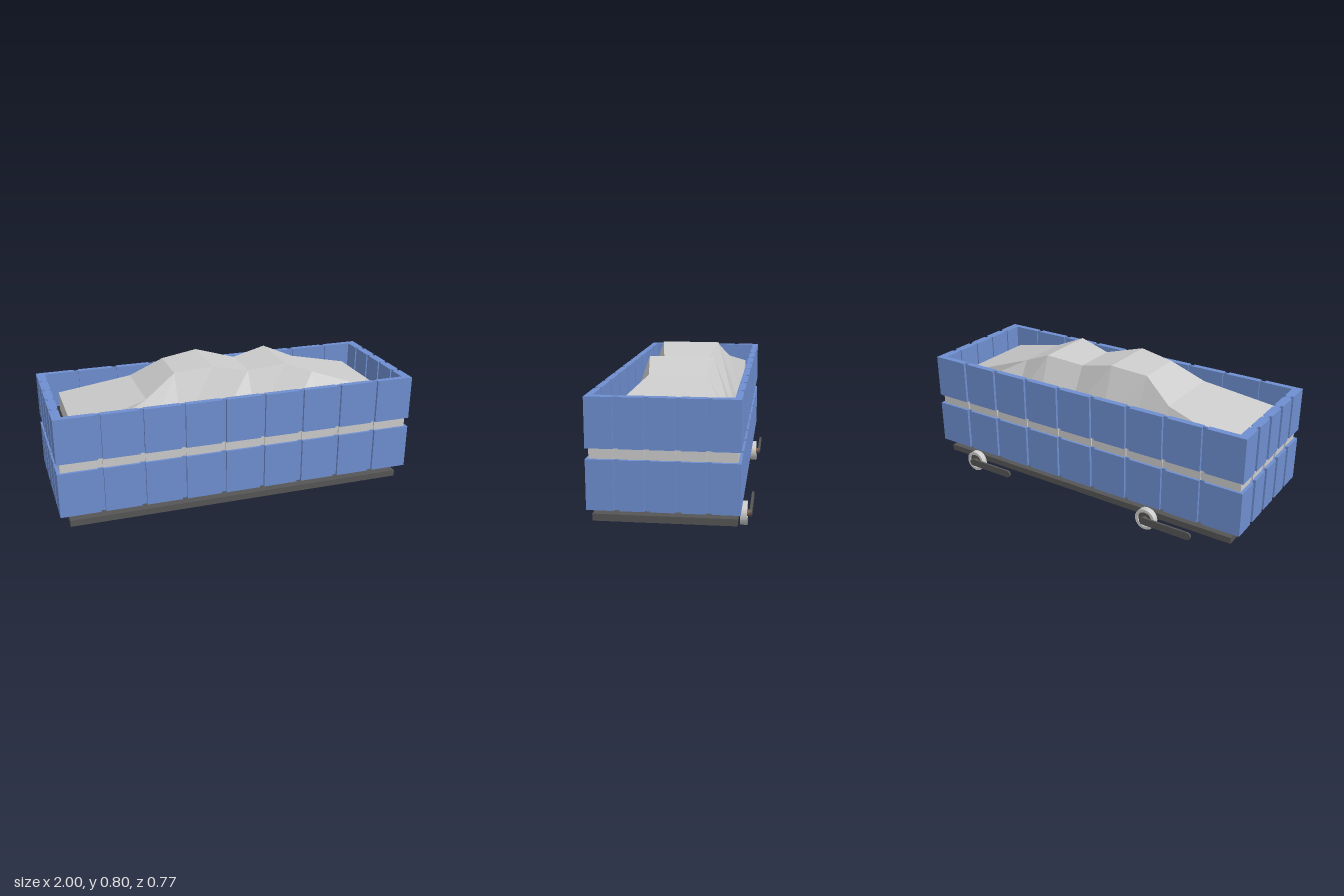
import * as THREE from 'three';

const mat = (color, extra = {}) => new THREE.MeshStandardMaterial({ color, ...extra });
const blue = mat(0x6f8fd0);
const grey = mat(0xcccccc);
const rock = mat(0xcccccc, { flatShading: true });
const dark = mat(0x555555);
const black = mat(0x333333);
const brown = mat(0x8b5a3c);

const BODY_Z = 0.022;
const GROOVE = 0.027;
const xGrooves = Array.from({ length: 8 }, (_, i) => (i - 3.5) * 0.2215);
const zGrooves = Array.from({ length: 4 }, (_, i) => (i - 1.5) * 0.145);

function add(parent, name, geometry, material, x = 0, y = 0, z = 0) {
  const mesh = new THREE.Mesh(geometry, material);
  mesh.name = name;
  mesh.position.set(x, y, z);
  parent.add(mesh);
  return mesh;
}

// Rectangle outline with a groove of signed depth at every panel joint
function groovedOutline(hx, hz, depth) {
  const pts = [];
  const side = (from, grooves, half, place) => {
    pts.push(place(from, half));
    for (const g of grooves) {
      pts.push(place(g - GROOVE / 2, half), place(g - GROOVE / 2, half - depth));
      pts.push(place(g + GROOVE / 2, half - depth), place(g + GROOVE / 2, half));
    }
  };
  const V = (x, y) => new THREE.Vector2(x, y);
  side(-hx, xGrooves, hz, (t, n) => V(t, -n));
  side(-hz, zGrooves, hx, (t, n) => V(n, t));
  side(-hx, xGrooves, hz, (t, n) => V(-t, n));
  side(-hz, zGrooves, hx, (t, n) => V(-n, -t));
  return pts;
}

// Hollow ring of panelled walls
function wallRing(hx, hz, height, depth, innerDepth) {
  const shape = new THREE.Shape(groovedOutline(hx, hz, depth));
  shape.holes.push(new THREE.Path(groovedOutline(0.952, 0.33, -innerDepth)));
  return new THREE.ExtrudeGeometry(shape, { depth: height, bevelEnabled: false }).rotateX(-Math.PI / 2);
}

// Heaped load lofted from cross-sections along x
function loadGeometry() {
  const base = 0.48;
  // x, ridge height, half width at the ridge, half width at the base
  const sections = [
    [-0.89, 0.58, 0.282, 0.283], [-0.49, 0.667, 0.202, 0.28], [-0.316, 0.773, 0.133, 0.275],
    [-0.11, 0.797, 0.162, 0.267], [0.107, 0.74, 0.126, 0.267], [0.312, 0.773, 0.173, 0.278],
    [0.484, 0.7, 0.15, 0.282], [0.89, 0.58, 0.282, 0.283],
  ];
  const zc = 0.018;
  const rings = sections.map(([x, y, r, b]) => [
    [x, base, zc + b], [x, y, zc + r], [x, y, zc - r], [x, base, zc - b],
  ]);
  const pos = [];
  const quad = (a, b, c, d) => pos.push(...a, ...b, ...c, ...a, ...c, ...d);
  for (let i = 0; i < rings.length - 1; i++) {
    const p = rings[i], q = rings[i + 1];
    for (let j = 0; j < 3; j++) quad(p[j], q[j], q[j + 1], p[j + 1]);
  }
  quad(...rings[0]);
  quad(...[...rings[rings.length - 1]].reverse());
  const g = new THREE.BufferGeometry();
  g.setAttribute('position', new THREE.Float32BufferAttribute(pos, 3));
  g.computeVertexNormals();
  return g;
}

// Handwheel with a long flat lever, facing the back
function handwheel(x) {
  const group = new THREE.Group();
  group.name = 'handwheel';
  const disc = (r, h) => new THREE.CylinderGeometry(r, r, h, 32).rotateX(Math.PI / 2);

  const rimShape = new THREE.Shape().absarc(0, 0, 0.06, 0, Math.PI * 2);
  rimShape.holes.push(new THREE.Path().absarc(0, 0, 0.043, 0, Math.PI * 2, true));
  const rim = new THREE.ExtrudeGeometry(rimShape, { depth: 0.034, bevelEnabled: false, curveSegments: 20 });
  add(group, 'wheelRim', rim, grey, 0, 0, -0.362);
  add(group, 'wheelDisc', disc(0.044, 0.018), dark, 0, 0, -0.345);
  add(group, 'pin', disc(0.016, 0.024), brown, 0, 0, -0.364);

  const lever = new THREE.Shape();
  lever.absarc(0, 0, 0.021, -Math.PI / 2, Math.PI / 2);
  lever.absarc(-0.266, 0, 0.021, Math.PI / 2, Math.PI * 1.5);
  lever.closePath();
  const leverGeo = new THREE.ExtrudeGeometry(lever, { depth: 0.012, bevelEnabled: false, curveSegments: 10 });
  add(group, 'lever', leverGeo, dark, 0, 0.002, -0.385);

  group.position.set(x, 0.06, 0);
  return group;
}

export function createModel() {
  const model = new THREE.Group();
  model.name = 'openContainer';

  // Stepped chassis plate
  add(model, 'basePlate', new THREE.BoxGeometry(1.9, 0.035, 0.695), dark, 0, 0.0825, BODY_Z);
  add(model, 'baseRiser', new THREE.BoxGeometry(1.61, 0.036, 0.589), dark, 0, 0.118, BODY_Z);

  // Panelled walls with a recessed band between two tiers
  add(model, 'lowerWalls', wallRing(1, 0.364, 0.247, 0.015, 0.008), blue, 0, 0.135, BODY_Z);
  add(model, 'middleBand', wallRing(0.983, 0.35, 0.053, 0.008, 0.004), grey, 0, 0.382, BODY_Z);
  add(model, 'upperWalls', wallRing(1, 0.364, 0.245, 0.015, 0.008), blue, 0, 0.435, BODY_Z);
  add(model, 'bottomPanel', new THREE.BoxGeometry(1.91, 0.02, 0.665), blue, 0, 0.146, BODY_Z);

  // Inner floor and heaped load
  add(model, 'floor', new THREE.BoxGeometry(1.925, 0.02, 0.68), black, 0, 0.47, BODY_Z);
  add(model, 'load', loadGeometry(), rock);

  // Two handwheels along the back
  for (const x of [-0.463, 0.737]) model.add(handwheel(x));

  return model;
}
